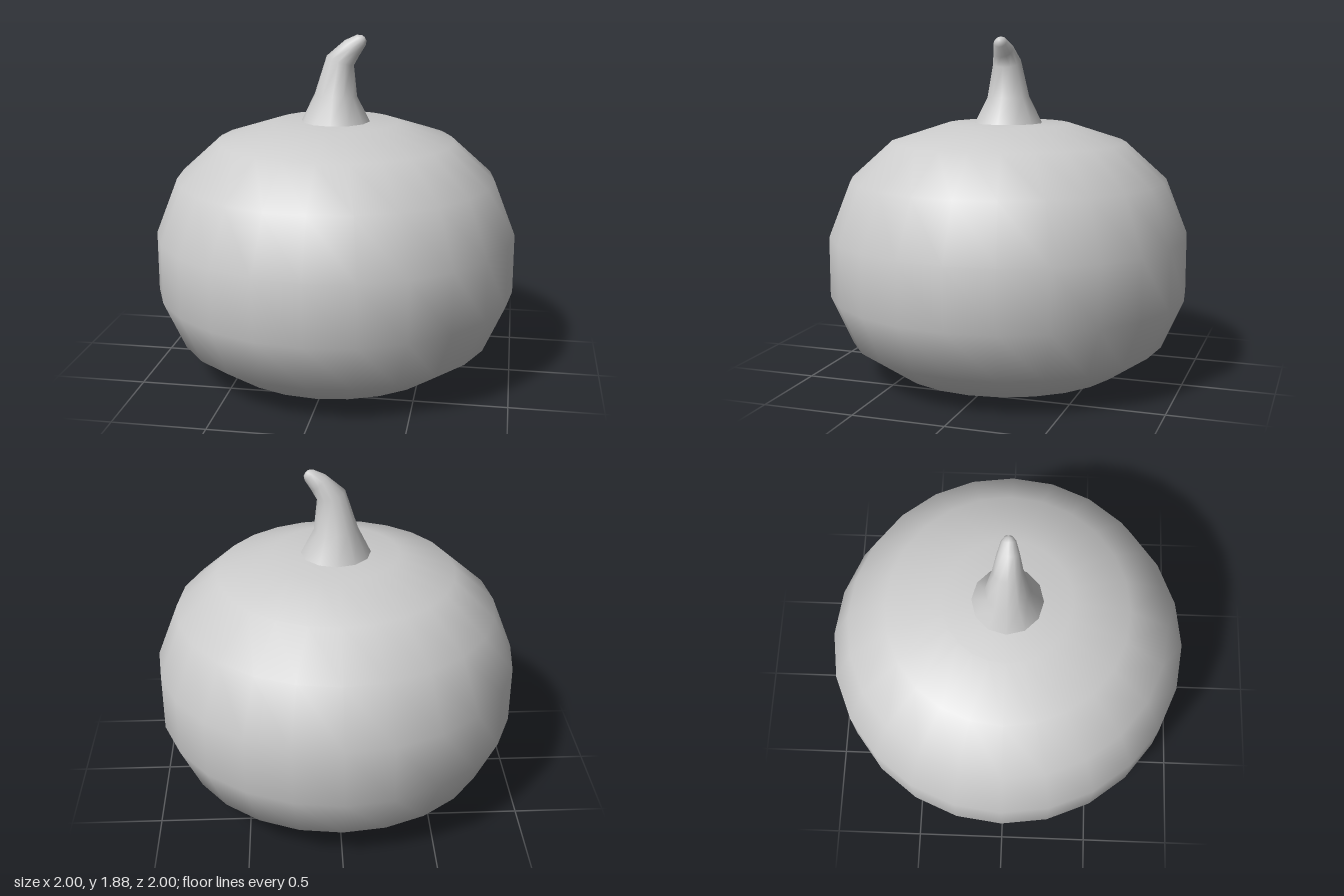
import * as THREE from 'three';

const grey = new THREE.MeshStandardMaterial({ color: 0xcccccc });
grey.name = 'plain grey';

// Squashed round body, turned from a profile
function makeBody() {
  const profile = [
    [0, 0], [0.345, 0.005], [0.653, 0.045], [0.88, 0.2], [1, 0.47],
    [1, 0.8], [0.88, 1.105], [0.653, 1.31], [0.345, 1.41], [0, 1.416],
  ].map(([r, y]) => new THREE.Vector2(r, y));
  const body = new THREE.Mesh(new THREE.LatheGeometry(profile, 24), grey);
  body.name = 'body';
  return body;
}

// Curved stem, lofted through tilted rings that shrink to a rounded tip
function makeStem() {
  const sides = 12;
  // centre x, centre y, radius, tilt toward +x
  const rings = [
    [0, 1.413, 0.19, 0],
    [0, 1.555, 0.118, 0.03],
    [0.025, 1.745, 0.079, 0.32],
    [0.09, 1.815, 0.057, 0.8],
    [0.139, 1.857, 0.037, 0.85],
    [0.154, 1.869, 0.021, 0.85],
    [0.158, 1.873, 0, 0.85],
  ];
  const positions = [];
  const index = [];
  rings.forEach(([x, y, r, tilt], i) => {
    for (let j = 0; j < sides; j++) {
      const a = (j / sides) * Math.PI * 2;
      const u = r * Math.cos(a);
      positions.push(x + u * Math.cos(tilt), y - u * Math.sin(tilt), r * Math.sin(a));
      if (i === rings.length - 1) continue;
      const k = (j + 1) % sides;
      const p = i * sides + j, q = i * sides + k;
      index.push(p, p + sides, q);
      if (i < rings.length - 2) index.push(q, p + sides, q + sides);
    }
  });
  const geometry = new THREE.BufferGeometry();
  geometry.setAttribute('position', new THREE.Float32BufferAttribute(positions, 3));
  geometry.setIndex(index);
  geometry.computeVertexNormals();
  const stem = new THREE.Mesh(geometry, grey);
  stem.name = 'stem';
  return stem;
}

export function createModel() {
  const model = new THREE.Group();
  model.name = 'pumpkin';
  model.add(makeBody(), makeStem());
  return model;
}
